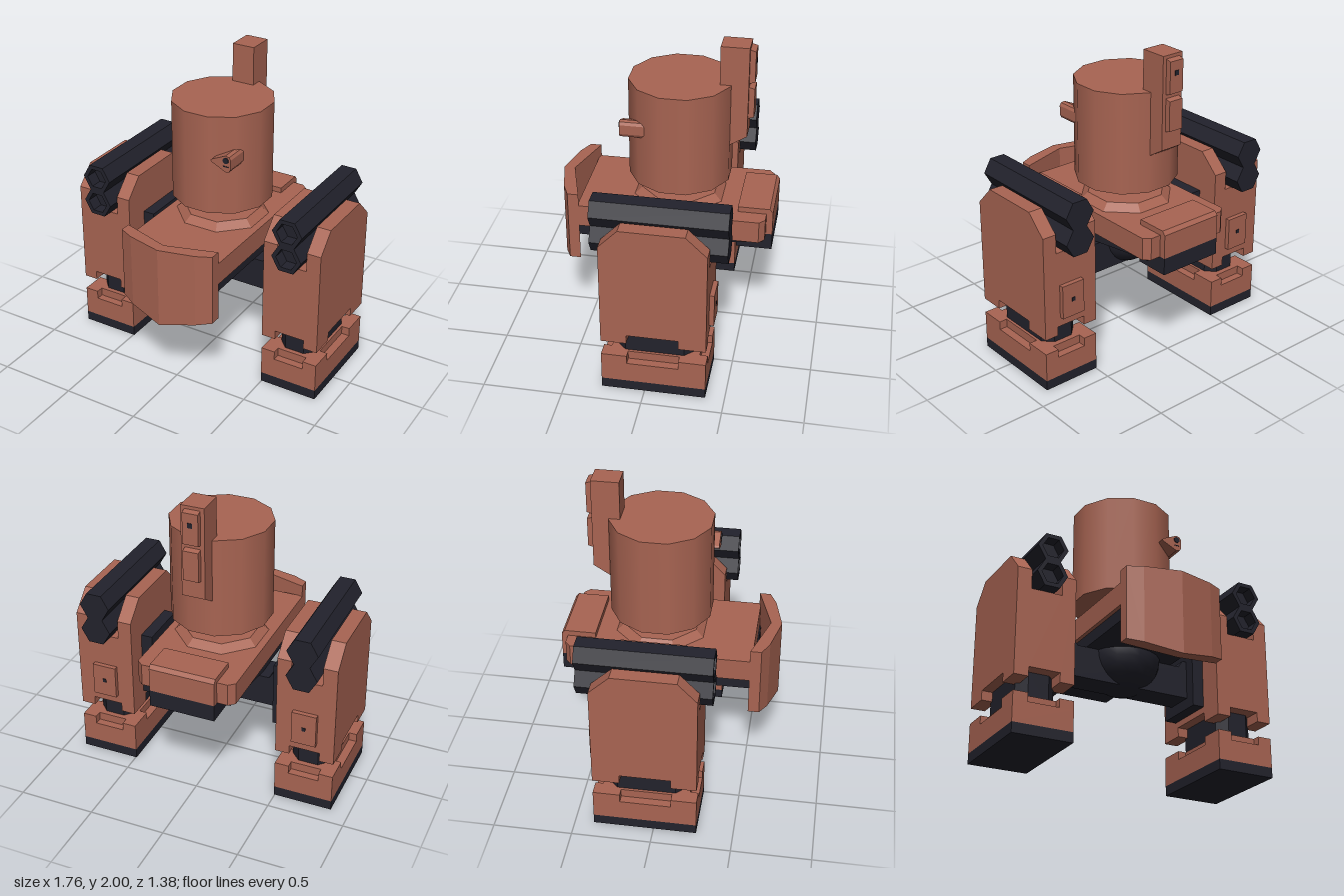
import * as THREE from 'three';

const rust = new THREE.MeshStandardMaterial({ color: 0xa86452 });
rust.name = 'rust armour';
const dark = new THREE.MeshStandardMaterial({ color: 0x22222c });
dark.name = 'dark metal';

function add(parent, name, geometry, material) {
  const mesh = new THREE.Mesh(geometry, material);
  mesh.name = name;
  parent.add(mesh);
  return mesh;
}

// Box given by its limits on each axis
function box(x0, x1, y0, y1, z0, z1) {
  return new THREE.BoxGeometry(x1 - x0, y1 - y0, z1 - z0)
    .translate((x0 + x1) / 2, (y0 + y1) / 2, (z0 + z1) / 2);
}

function extrude(points, depth) {
  const shape = new THREE.Shape(points.map(([a, b]) => new THREE.Vector2(a, b)));
  return new THREE.ExtrudeGeometry(shape, { depth, bevelEnabled: false });
}

// Outline in (z, y), running from x0 to x1
const sideways = (points, x0, x1) =>
  extrude(points, x1 - x0).rotateY(-Math.PI / 2).translate(x1, 0, 0);

// Outline in (x, z), running from y0 to y1
const upright = (points, y0, y1) =>
  extrude(points.map(([x, z]) => [x, -z]), y1 - y0).rotateX(-Math.PI / 2).translate(0, y0, 0);

// Adds the mirrored half of an outline that runs along +x
const mirrorX = (half) => [...half, ...half.filter(([x]) => x > 0).reverse().map(([x, b]) => [-x, b])];

// Hexagonal launcher tube with a recessed muzzle at the front
function launcherTube() {
  const profile = [[0, 0], [0.1, 0], [0.1, 0.83], [0.07, 0.83], [0.07, 0.75], [0, 0.75]]
    .map(([r, y]) => new THREE.Vector2(r, y));
  const g = new THREE.LatheGeometry(profile, 6, Math.PI / 6).rotateX(Math.PI / 2).toNonIndexed();
  g.computeVertexNormals();
  return g.translate(0, 0, -0.485);
}

function makeLeg() {
  const leg = new THREE.Group();
  // Side plates with notched bottoms
  const plate = [[0.27, 0.355], [0.27, 1.04], [0.15, 1.165], [-0.25, 1.165], [-0.38, 1.04],
    [-0.38, 0.355], [-0.21, 0.355], [-0.21, 0.415], [0.11, 0.415], [0.11, 0.355]];
  add(leg, 'outerLegPlate', sideways(plate, 0.1, 0.1925), rust);
  add(leg, 'innerLegPlate', sideways(plate, -0.1925, -0.1), rust);
  add(leg, 'legCore', box(-0.1, 0.1, 0.415, 0.915, -0.38, 0.27), rust);
  add(leg, 'rearLegPanel', box(-0.08, 0.08, 0.475, 0.695, -0.41, -0.38), rust);
  add(leg, 'rearLegPanelRivet', box(-0.012, 0.012, 0.575, 0.6, -0.413, -0.41), dark);

  for (const y of [1.005, 1.178]) add(leg, 'launcherTube', launcherTube().translate(0, y, 0), dark);

  // Ankle with cut corners
  const ankle = [[0.123, 0.13], [0.065, 0.19], [-0.065, 0.19], [-0.123, 0.13],
    [-0.123, -0.235], [-0.065, -0.295], [0.065, -0.295], [0.123, -0.235]];
  add(leg, 'ankle', upright(ankle, 0.22, 0.42), dark);

  // Foot with corner blocks left standing
  add(leg, 'foot', box(-0.1925, 0.1925, 0.065, 0.2, -0.38, 0.27), rust);
  add(leg, 'footTop', box(-0.14, 0.14, 0.2, 0.255, -0.33, 0.22), rust);
  for (const [x0, x1] of [[-0.1925, -0.1], [0.1, 0.1925]]) {
    for (const [z0, z1] of [[-0.38, -0.21], [0.11, 0.27]]) {
      add(leg, 'footCorner', box(x0, x1, 0.2, 0.255, z0, z1), rust);
    }
  }
  add(leg, 'sole', box(-0.1925, 0.1925, 0, 0.065, -0.38, 0.27), dark);
  return leg;
}

function makeHull() {
  const hull = new THREE.Group();
  hull.name = 'hull';
  add(hull, 'deck', upright(mirrorX([[0.325, 0.53], [0.325, -0.615], [0.285, -0.65]]), 0.81, 0.955), rust);
  // Underside, thinning towards the back
  add(hull, 'underbody', sideways([[0.54, 0.81], [0.54, 0.73], [-0.1, 0.73], [-0.37, 0.77],
    [-0.64, 0.805], [-0.64, 0.81]], -0.3, 0.3), dark);

  // Bowed front shield, its lower edge dropping to the middle
  const shield = upright(mirrorX([[0, 0.69], [0.23, 0.635], [0.325, 0.59], [0.325, 0.52], [0, 0.62]]
    .slice(1, 4)).toSpliced(0, 0, [0, 0.69]).toSpliced(4, 0, [0, 0.62]), 0.5, 1.035);
  const p = shield.attributes.position;
  for (let i = 0; i < p.count; i++) {
    if (p.getY(i) < 0.51) p.setY(i, 0.5 + 0.2 * Math.abs(p.getX(i)));
  }
  shield.computeVertexNormals();
  add(hull, 'frontShield', shield, rust);

  // Rear hatch and the pack under it
  add(hull, 'rearHatch', sideways([[-0.47, 0.81], [-0.47, 0.99], [-0.67, 0.99], [-0.69, 0.965],
    [-0.69, 0.81]], -0.215, 0.215), rust);
  add(hull, 'rearPack', box(-0.215, 0.215, 0.7, 0.81, -0.69, -0.465), dark);

  // Pelvis ball, axle and hip plates
  add(hull, 'pelvis', new THREE.SphereGeometry(0.24, 20, 14).translate(0, 0.735, -0.065), dark);
  const axle = [[0.36, 0.73], [0.39, 0.775], [0.42, 0.775], [0.42, 0.525]];
  add(hull, 'hipAxle', extrude(mirrorX(axle), 0.19).translate(0, 0, -0.16), dark);
  for (const s of [-1, 1]) {
    add(hull, 'hipPlate', new THREE.BoxGeometry(0.078, 0.43, 0.345).translate(s * 0.458, 0.67, -0.0675), dark);
  }
  return hull;
}

function makeHead() {
  const head = new THREE.Group();
  head.name = 'head';
  const drum = (r0, r1, y0, y1, n) => new THREE.CylinderGeometry(r1, r0, y1 - y0, n, 1, false, Math.PI / n)
    .translate(0, (y0 + y1) / 2, -0.075);
  add(head, 'neckCollar', drum(0.3, 0.25, 0.955, 1.0, 8).toNonIndexed(), rust).geometry.computeVertexNormals();
  add(head, 'neck', drum(0.09, 0.09, 0.98, 1.11, 12), dark);
  add(head, 'headDrum', drum(0.326, 0.326, 1.1, 1.75, 12), rust);

  // Off-centre eye housing with a small lens and slot
  add(head, 'eyeHousing', extrude([[0.115, 1.485], [0.125, 1.475], [0.22, 1.43], [0.245, 1.435], [0.256, 1.455],
    [0.256, 1.515], [0.245, 1.533], [0.22, 1.538], [0.125, 1.495]], 0.18).translate(0, 0, 0.085), rust);
  add(head, 'eyeLens', new THREE.CylinderGeometry(0.02, 0.02, 0.006, 12).rotateX(Math.PI / 2)
    .translate(0.223, 1.507, 0.267), dark);
  add(head, 'eyeSlot', box(0.205, 0.24, 1.464, 1.47, 0.264, 0.268), dark);

  // Rear mast with two panels
  add(head, 'mast', sideways([[-0.32, 2], [-0.32, 1.3], [-0.495, 1.41], [-0.495, 2]], -0.075, 0.075), rust);
  for (const [y0, y1] of [[1.525, 1.735], [1.76, 1.98]]) {
    add(head, 'mastPanel', sideways([[-0.495, y0], [-0.495, y1], [-0.53, y1 - 0.01], [-0.53, y0 + 0.01]],
      -0.05, 0.05), rust);
  }
  add(head, 'mastPort', box(-0.015, 0.015, 1.88, 1.91, -0.534, -0.53), dark);
  return head;
}

export function createModel() {
  const model = new THREE.Group();
  model.name = 'walker';
  model.add(makeHull(), makeHead());
  for (const [name, s] of [['leftLeg', 1], ['rightLeg', -1]]) {
    const leg = makeLeg();
    leg.name = name;
    leg.position.x = s * 0.6875;
    model.add(leg);
  }
  return model;
}
